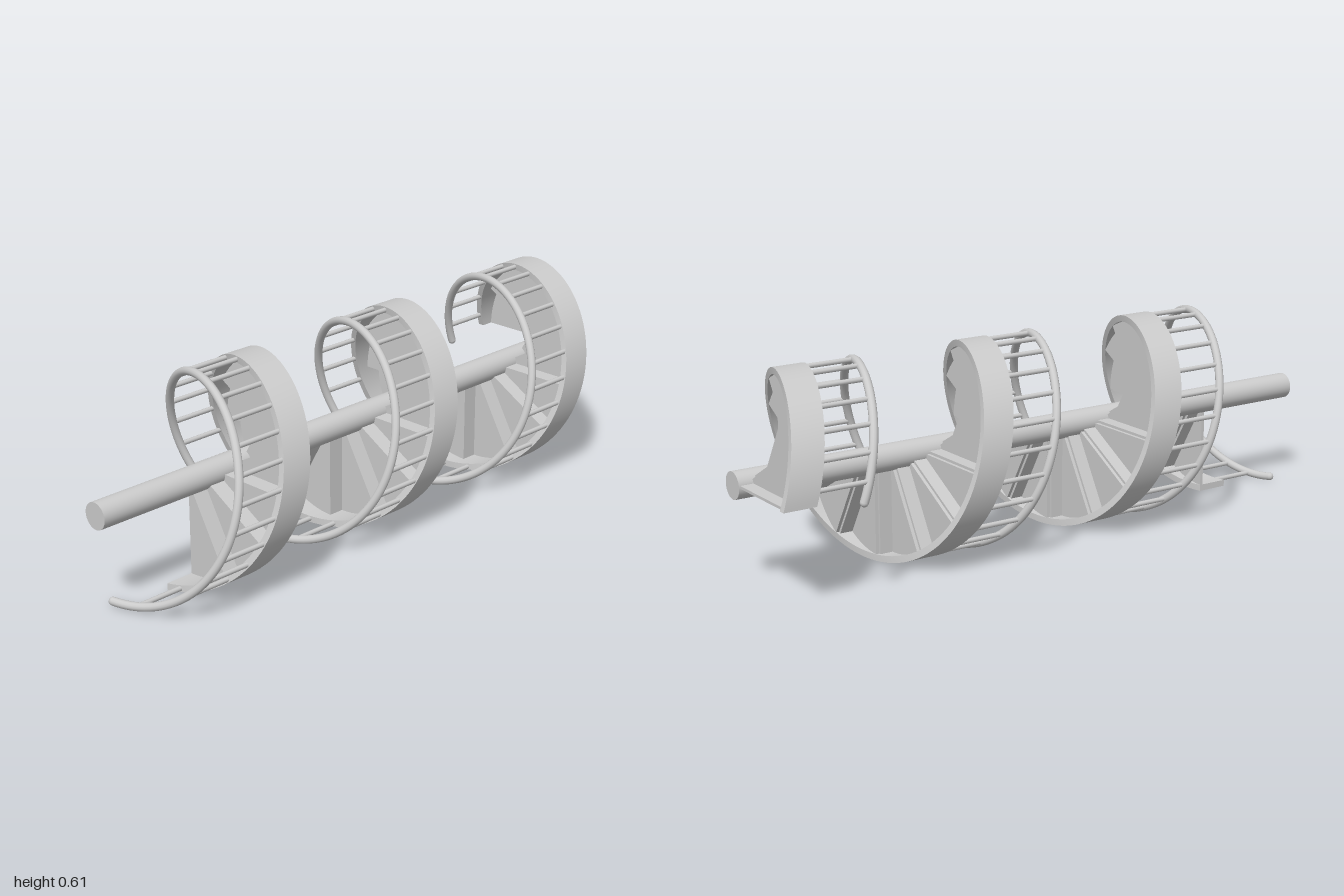
import * as THREE from 'three';
import { toCreasedNormals } from 'three/addons/utils/BufferGeometryUtils.js';

const AXIS_Y = 0.31;          // height of the centre pole
const STEPS = 33;             // 12 steps per turn, 2.75 turns
const STEP_ANGLE = Math.PI / 6;
const RISE = 0.0505;          // drop along z per step
const START = -Math.PI / 2;
const TOP_Z = 0.67;           // walking face of the first tread
const RAIL_Z = 0.915;
const RAIL_R = 0.294;
const END = START + STEPS * STEP_ANGLE;

const railZ = a => RAIL_Z - (a - START) / STEP_ANGLE * RISE;
const onHelix = (a, r, dz = 0) => new THREE.Vector3(r * Math.cos(a), r * Math.sin(a), railZ(a) + dz);

class Helix extends THREE.Curve {
  constructor(from, to, r) { super(); Object.assign(this, { from, to, r }); }
  getPoint(t, target = new THREE.Vector3()) {
    return target.copy(onHelix(this.from + (this.to - this.from) * t, this.r));
  }
}

// Rectangular section swept along the helix, closed at both ends
function helicalBand(rIn, rOut, zLow, zHigh, segments) {
  const section = [[rIn, zLow], [rIn, zHigh], [rOut, zHigh], [rOut, zLow]];
  const pos = [], index = [];
  for (let i = 0; i <= segments; i++) {
    const a = START + (END - START) * i / segments;
    for (const [r, z] of section) pos.push(...onHelix(a, r, z).toArray());
    if (i === segments) break;
    for (let j = 0; j < 4; j++) {
      const p = i * 4 + j, q = i * 4 + (j + 1) % 4;
      index.push(p, q, q + 4, p, q + 4, p + 4);
    }
  }
  const e = segments * 4;
  index.push(0, 2, 1, 0, 3, 2, e, e + 1, e + 2, e, e + 2, e + 3);
  const g = new THREE.BufferGeometry();
  g.setAttribute('position', new THREE.Float32BufferAttribute(pos, 3));
  g.setIndex(index);
  return toCreasedNormals(g, 0.6);
}

export function createModel() {
  const model = new THREE.Group();
  model.name = 'spiralStaircase';
  const stair = new THREE.Group();
  stair.name = 'staircase';
  stair.position.y = AXIS_Y;
  model.add(stair);
  const material = new THREE.MeshStandardMaterial({ color: 0xcccccc });
  const add = (name, geometry, parent = stair) => {
    const mesh = new THREE.Mesh(geometry, material);
    mesh.name = name;
    parent.add(mesh);
    return mesh;
  };

  // Centre pole
  add('centrePole', new THREE.CylinderGeometry(0.04, 0.04, 2, 40).rotateX(Math.PI / 2));

  // Wedge treads, each with a riser down to the next one
  const wedge = new THREE.Shape();
  wedge.absarc(0, 0, 0.29, 0, STEP_ANGLE, false);
  wedge.absarc(0, 0, 0.03, STEP_ANGLE, 0, true);
  wedge.closePath();
  const treadGeo = new THREE.ExtrudeGeometry(wedge, { depth: 0.01, bevelEnabled: false, curveSegments: 8 });
  treadGeo.translate(0, 0, -0.01);
  const riserGeo = new THREE.BoxGeometry(0.255, 0.008, RISE);
  riserGeo.translate(0.1595, -0.004, -RISE / 2);
  for (let k = 0; k < STEPS; k++) {
    const step = new THREE.Group();
    step.name = 'step';
    step.position.z = TOP_Z - k * RISE;
    step.rotation.z = START + k * STEP_ANGLE;
    add('tread', treadGeo, step);
    add('riser', riserGeo, step).rotation.z = STEP_ANGLE;
    stair.add(step);
  }

  // Outer stringer
  add('stringer', helicalBand(0.284, 0.304, -0.255, -0.155, 264));

  // Handrail with rounded ends
  const railFrom = START - 0.12, railTo = END + 0.06;
  add('handrail', new THREE.TubeGeometry(new Helix(railFrom, railTo, RAIL_R), 300, 0.0125, 12));
  for (const a of [railFrom, railTo]) {
    add('handrailEnd', new THREE.SphereGeometry(0.0125, 12, 8)).position.copy(onHelix(a, RAIL_R));
  }

  // Two balusters per step, from stringer to handrail
  const balusterGeo = new THREE.CylinderGeometry(0.0075, 0.0075, 0.21, 10).rotateX(Math.PI / 2);
  for (let i = 0; i < STEPS * 2; i++) {
    const a = START + (i + 0.5) * STEP_ANGLE / 2;
    add('baluster', balusterGeo).position.copy(onHelix(a, RAIL_R, -0.105));
  }
  return model;
}
